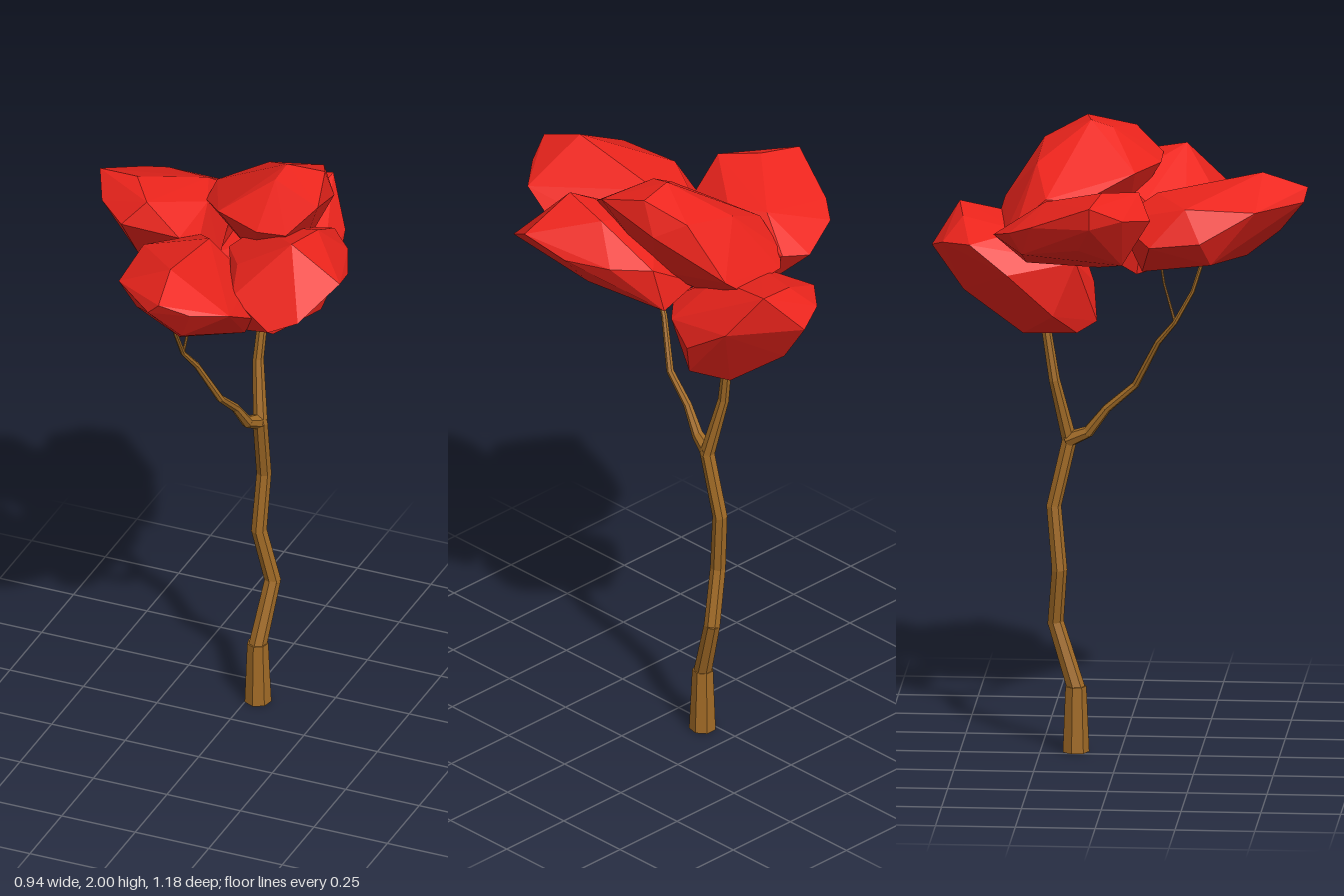
import * as THREE from 'three';
import { ConvexGeometry } from 'three/addons/geometries/ConvexGeometry.js';

const bark = new THREE.MeshStandardMaterial({ color: 0xa06a26, flatShading: true });
const leaf = new THREE.MeshStandardMaterial({ color: 0xec241c, flatShading: true });

// Chain of tapered segments; each node is [x, y, z, radius]
function limb(name, nodes) {
  const group = new THREE.Group();
  group.name = name;
  for (let i = 0; i < nodes.length - 1; i++) {
    const a = new THREE.Vector3(...nodes[i]);
    const b = new THREE.Vector3(...nodes[i + 1]);
    const dir = b.clone().sub(a);
    const length = dir.length();
    // small overlap closes the bends between segments
    const overlap = i > 0 ? nodes[i][3] * 0.25 : 0;
    const geo = new THREE.CylinderGeometry(nodes[i + 1][3], nodes[i][3], length + overlap, 7);
    geo.translate(0, (length - overlap) / 2, 0);
    const mesh = new THREE.Mesh(geo, bark);
    mesh.name = name + 'Segment';
    mesh.position.copy(a);
    mesh.quaternion.setFromUnitVectors(new THREE.Vector3(0, 1, 0), dir.normalize());
    group.add(mesh);
  }
  return group;
}

// Faceted clump of leaves wrapped around its corner points
function clump(name, corners) {
  const mesh = new THREE.Mesh(new ConvexGeometry(corners.map((c) => new THREE.Vector3(...c))), leaf);
  mesh.name = name;
  return mesh;
}

export function createModel() {
  const tree = new THREE.Group();
  tree.name = 'tree';

  // Wood
  tree.add(limb('trunkBase', [[0.033, 0, -0.14, 0.043], [0.032, 0.21, -0.14, 0.034]]));
  tree.add(limb('trunk', [
    [0.032, 0.2, -0.138, 0.029], [0.055, 0.41, -0.205, 0.026],
    [0.015, 0.59, -0.19, 0.025], [0.024, 0.79, -0.208, 0.024], [0.032, 1.0, -0.16, 0.024],
    [0.006, 1.2, -0.205, 0.018], [0.016, 1.42, -0.24, 0.015],
  ]));
  tree.add(limb('branch', [
    [0.03, 1.0, -0.165, 0.026], [0.014, 1.03, -0.1, 0.019], [0.0, 1.11, -0.04, 0.014],
    [-0.012, 1.19, 0.05, 0.012], [-0.06, 1.34, 0.125, 0.01], [-0.083, 1.41, 0.18, 0.008],
    [-0.085, 1.51, 0.235, 0.007], [-0.08, 1.62, 0.27, 0.006],
  ]));
  tree.add(limb('twig', [[-0.083, 1.41, 0.18, 0.005], [-0.07, 1.53, 0.145, 0.004], [-0.06, 1.62, 0.13, 0.004]]));

  // Foliage
  tree.add(clump('backFoliage', [
    [0.13, 1.74, -0.51], [0, 1.72, -0.49], [-0.14, 1.66, -0.46], [0.03, 1.62, -0.59],
    [-0.065, 1.65, -0.55], [0.21, 1.6, -0.42], [0.24, 1.51, -0.28], [0.2, 1.4, -0.25],
    [0.09, 1.35, -0.32], [-0.03, 1.355, -0.3], [-0.04, 1.36, -0.13], [0.09, 1.35, -0.13],
    [-0.12, 1.43, -0.2], [-0.17, 1.57, -0.34], [0, 1.39, -0.07], [0.02, 1.51, -0.08],
    [-0.1, 1.6, -0.13], [0.15, 1.6, -0.13], [0.02, 1.48, -0.49], [0.23, 1.58, -0.2],
    [0.1, 1.7, -0.27], [-0.06, 1.69, -0.3],
  ]));
  tree.add(clump('topFoliage', [
    [0.14, 1.98, -0.03], [0.27, 1.99, -0.12], [0.31, 1.95, 0.03], [0.24, 1.88, 0.12],
    [0.14, 1.87, 0.12], [-0.02, 1.87, 0.05], [-0.13, 1.8, -0.11], [-0.14, 1.81, -0.22],
    [-0.14, 1.73, -0.31], [-0.1, 1.69, -0.35], [0.1, 1.7, -0.385], [0.16, 1.75, -0.37],
    [0.21, 1.93, -0.25], [0.02, 1.89, -0.26], [0.15, 2.0, -0.1], [0.08, 1.62, -0.27],
    [0, 1.66, -0.15], [0.2, 1.7, -0.1], [0.1, 1.71, 0.02], [0.28, 1.88, -0.17],
  ]));
  tree.add(clump('rightFoliage', [
    [-0.47, 1.86, -0.06], [-0.46, 1.79, -0.06], [-0.4, 1.78, -0.25], [-0.35, 1.75, -0.32],
    [-0.2, 1.71, -0.38], [-0.12, 1.72, -0.34], [-0.17, 1.81, -0.22], [-0.12, 1.8, -0.1],
    [-0.1, 1.72, 0.02], [-0.14, 1.76, 0.08], [-0.25, 1.865, 0.08], [-0.32, 1.79, 0.12],
    [-0.42, 1.81, 0.04], [-0.33, 1.88, -0.03], [-0.3, 1.64, 0.03], [-0.2, 1.61, -0.05],
    [-0.08, 1.61, -0.1], [-0.15, 1.61, -0.28], [-0.34, 1.68, -0.28], [-0.4, 1.71, -0.1],
  ]));
  tree.add(clump('leftFoliage', [
    [0.465, 1.81, 0.215], [0.29, 1.9, 0.19], [0.29, 1.68, 0.375], [0.38, 1.72, 0.35],
    [0.11, 1.79, 0.2], [0.14, 1.74, 0.31], [0.22, 1.64, 0.31], [0.12, 1.58, 0.24],
    [0.43, 1.76, 0.07], [0.37, 1.76, -0.07], [0.28, 1.76, -0.17], [0.31, 1.87, 0.03],
    [0.26, 1.62, -0.2], [0.1, 1.65, -0.18], [0.05, 1.53, 0.05], [0.15, 1.55, 0.18],
    [0.03, 1.77, 0.08], [0.3, 1.62, 0.1], [0.18, 1.55, -0.05], [0.1, 1.82, 0],
  ]));
  tree.add(clump('frontFoliage', [
    [0.01, 1.83, 0.59], [-0.03, 1.79, 0.58], [0.1, 1.79, 0.55], [0.2, 1.77, 0.47],
    [-0.01, 1.88, 0.45], [-0.19, 1.79, 0.44], [-0.2, 1.8, 0.22], [-0.25, 1.7, 0.27],
    [-0.23, 1.68, 0.11], [0.22, 1.69, 0.33], [-0.02, 1.81, 0.12], [-0.1, 1.74, 0],
    [0.12, 1.7, 0.13], [0.17, 1.6, 0.28], [0, 1.61, 0.4], [-0.19, 1.62, 0.3],
    [0, 1.56, 0.15], [-0.12, 1.58, 0.08], [0.12, 1.58, 0.2], [0.05, 1.68, 0.5],
  ]));

  return tree;
}
